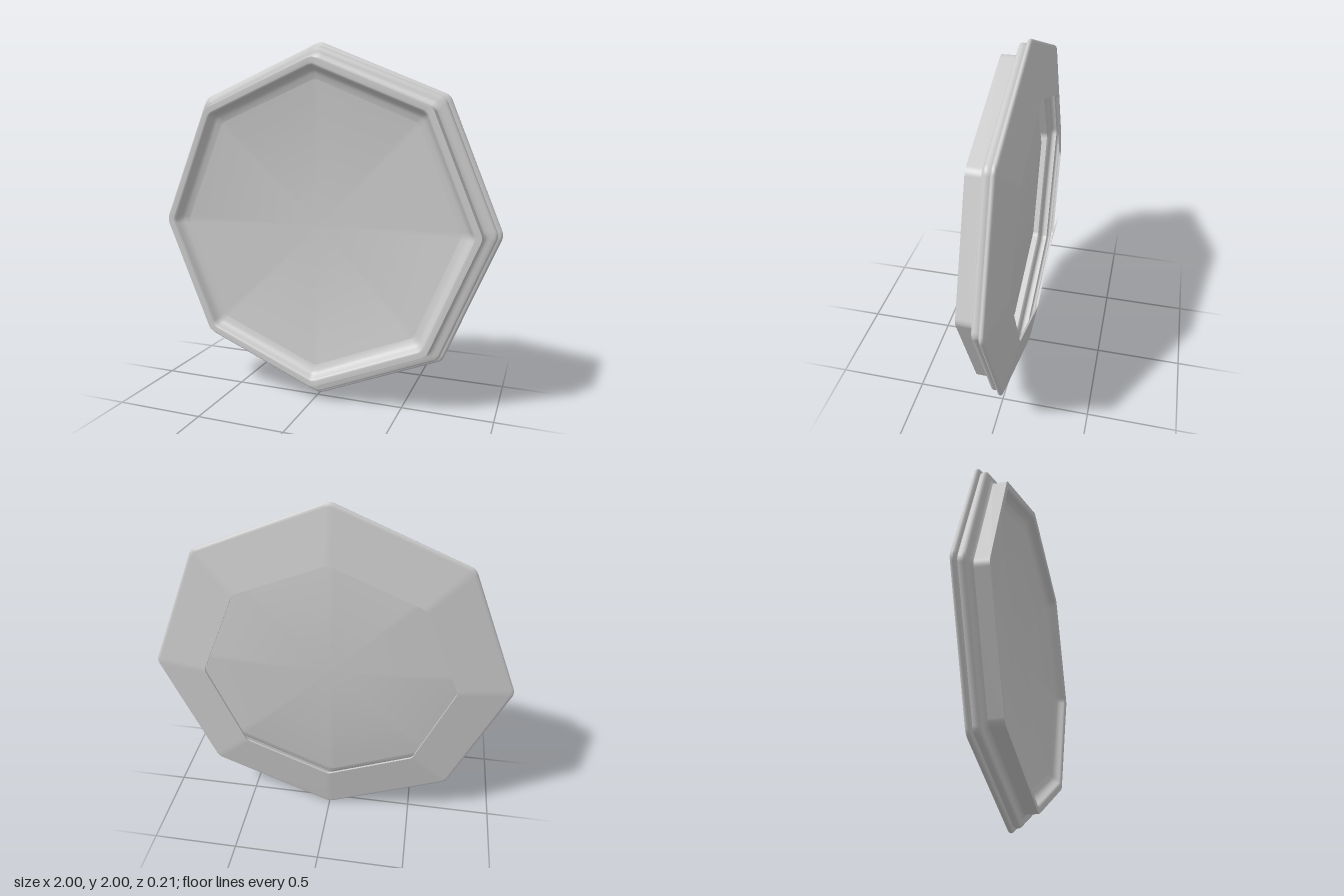
import * as THREE from 'three';

const SIDES = 8;
const CORNER = 0.026; // how far the rounding reaches along each edge

// Unit octagon outline with softly rounded corners, counter-clockwise
function octagonOutline() {
  const corner = (k) => {
    const a = (k / SIDES) * Math.PI * 2;
    return new THREE.Vector2(Math.cos(a), Math.sin(a));
  };
  const points = [];
  for (let k = 0; k < SIDES; k++) {
    const p = corner(k);
    const start = p.clone().add(corner(k - 1).sub(p).setLength(CORNER));
    const end = p.clone().add(corner(k + 1).sub(p).setLength(CORNER));
    points.push(...new THREE.QuadraticBezierCurve(start, p, end).getPoints(4));
  }
  const reach = Math.max(...points.map((p) => p.x));
  return points.map((p) => p.divideScalar(reach));
}

const OUTLINE = octagonOutline();

// Smooth band swept round the octagon from [radius, z] points; sharp edges fall between bands
function band(name, profile) {
  const n = OUTLINE.length;
  const positions = [];
  const index = [];
  profile.forEach(([r, z], i) => {
    OUTLINE.forEach((p, j) => {
      positions.push(p.x * r, p.y * r, z);
      if (i === profile.length - 1) return;
      const a = i * n + j;
      const b = i * n + ((j + 1) % n);
      index.push(a, b, b + n, a, b + n, a + n);
    });
  });
  const geometry = new THREE.BufferGeometry();
  geometry.setAttribute('position', new THREE.Float32BufferAttribute(positions, 3));
  geometry.setIndex(index);
  geometry.computeVertexNormals();
  const material = new THREE.MeshStandardMaterial({ color: 0xcccccc, side: THREE.DoubleSide });
  const mesh = new THREE.Mesh(geometry, material);
  mesh.name = name;
  return mesh;
}

export function createModel() {
  const model = new THREE.Group();
  model.name = 'octagonalFrame';
  const body = new THREE.Group();
  body.name = 'body';
  body.position.y = 1;
  model.add(body);

  // Shallow dished panel, flattening towards its centre
  const panelProfile = [0.8, 0.7, 0.6, 0.5, 0.4, 0.3, 0.2, 0.1, 0.0005]
    .map((r) => [r, -0.005 + 0.05 * (r / 0.8) ** 2]);

  body.add(
    // Thin edge of the back opening, and the hidden inner face of the back
    band('backInnerFace', [[0.87, -0.062], [0.7, -0.092]]),
    band('backOpeningEdge', [[0.7, -0.092], [0.7, -0.104]]),

    // Sloping back with a rounded outer lip
    band('backMoulding', [
      [0.7, -0.104], [0.98, -0.056], [0.992, -0.053], [0.999, -0.047], [1, -0.04],
      [0.997, -0.033], [0.988, -0.028], [0.972, -0.026],
    ]),

    // Middle step that coves in towards the front rim
    band('middleMoulding', [
      [0.972, -0.026], [0.977, -0.016], [0.978, -0.004], [0.975, 0.006], [0.965, 0.011],
      [0.945, 0.013], [0.93, 0.016], [0.92, 0.021], [0.913, 0.028],
    ]),

    // Upright outer face of the front rim
    band('frontRimSide', [[0.913, 0.028], [0.912, 0.102]]),

    // Rim top rolling over into the inner slope
    band('frontRim', [
      [0.912, 0.102], [0.882, 0.102], [0.873, 0.099], [0.867, 0.092], [0.859, 0.077],
      [0.847, 0.063], [0.831, 0.053], [0.8, 0.045],
    ]),

    // Panel filling the rim, seen from both sides
    band('panel', panelProfile),
  );
  return model;
}
